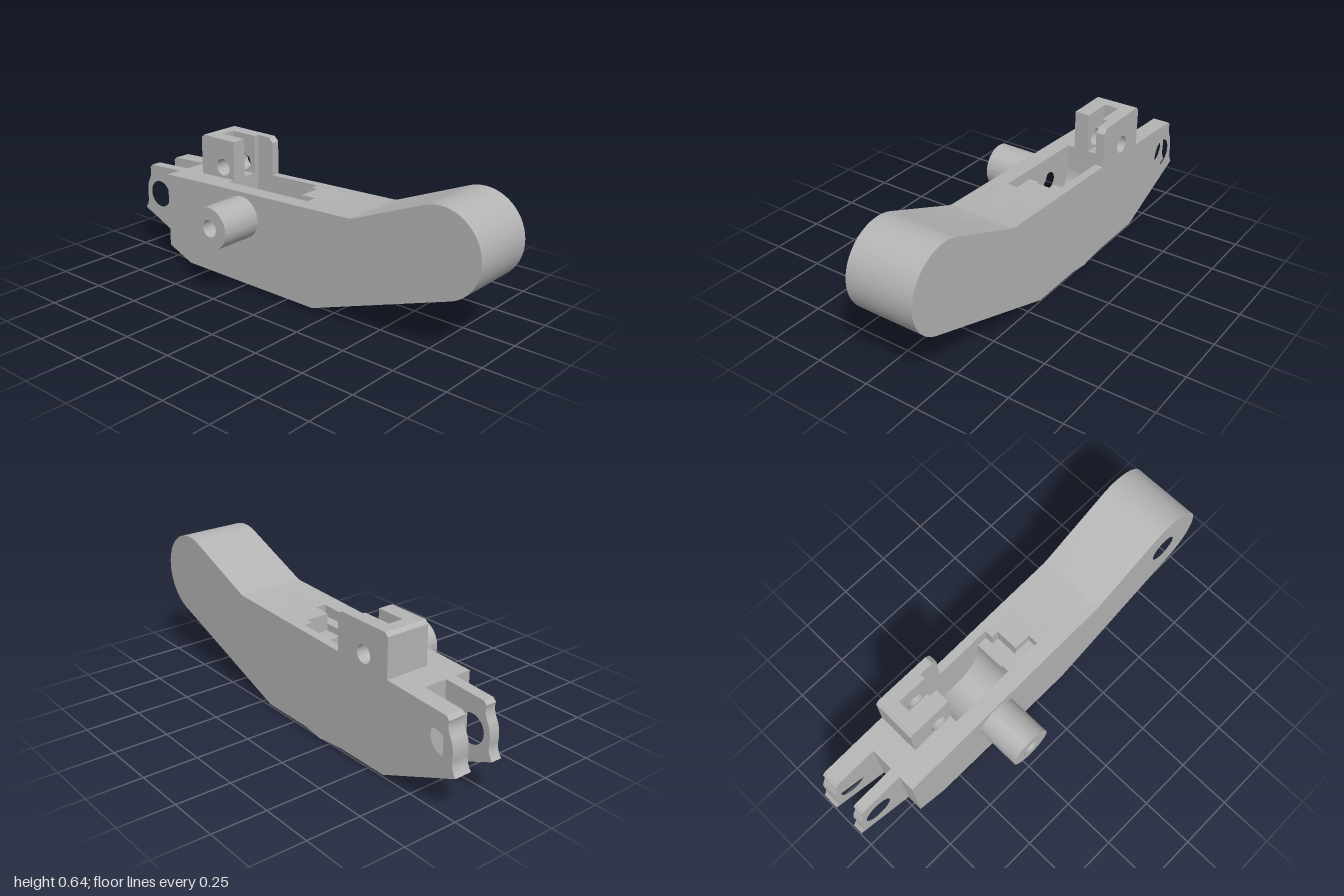
import * as THREE from 'three';
import { toCreasedNormals } from 'three/addons/utils/BufferGeometryUtils.js';

const grey = new THREE.MeshStandardMaterial({ color: 0xb4b4b4 });
grey.name = 'grey';
const rad = THREE.MathUtils.degToRad;

// Extrude a side profile between two depths
function slab(name, shape, z0, z1) {
  const geo = new THREE.ExtrudeGeometry(shape, { depth: z1 - z0, bevelEnabled: false, curveSegments: 32 });
  geo.translate(0, 0, z0);
  const mesh = new THREE.Mesh(toCreasedNormals(geo, rad(25)), grey);
  mesh.name = name;
  return mesh;
}

function addHole(shape, x, y, r) {
  shape.holes.push(new THREE.Path().absarc(x, y, r, 0, Math.PI * 2, true));
}

const polygon = (pts) => new THREE.Shape(pts.map(([x, y]) => new THREE.Vector2(x, y)));

// Arm side profile; options add the clevis ear and the wheel pocket with its shelf
function armProfile({ ear = false, pocket = false, shelfEnd = 0, shelfY = 0.39 }) {
  const s = new THREE.Shape();
  if (ear) {
    s.moveTo(-0.6, 0.018);
    s.lineTo(-1, 0.19);
    s.quadraticCurveTo(-0.975, 0.22, -0.98, 0.255);
    s.quadraticCurveTo(-0.985, 0.31, -0.965, 0.345);
    s.quadraticCurveTo(-0.945, 0.38, -0.955, 0.41);
    s.lineTo(-0.94, 0.425);
    s.lineTo(-0.74, 0.436);
  } else {
    s.moveTo(-0.6, 0.018);
    s.lineTo(-0.74, 0.075);
    s.lineTo(-0.74, 0.436);
  }
  s.lineTo(-0.41, 0.452);
  if (pocket) {
    s.lineTo(-0.41, 0.34);
    s.absarc(-0.25, 0.34, 0.16, Math.PI, Math.PI * 2, false);
    s.lineTo(-0.09, shelfY);
    s.lineTo(shelfEnd, shelfY);
    s.lineTo(shelfEnd, 0.468 + shelfEnd * 0.045);
  }
  s.lineTo(0.36, 0.483);
  s.lineTo(0.38, 0.487);
  s.absarc(0.805, 0.45, 0.195, rad(113), rad(-70), true);
  s.lineTo(0.17, 0.018);
  s.closePath();
  addHole(s, 0.8, 0.452, 0.065);
  if (ear) addHole(s, -0.885, 0.285, 0.065);
  return s;
}

// Upright bracket profile
function bracketProfile(right, chamferRight, hole = true) {
  const c = chamferRight ? 0.022 : 0;
  const s = polygon([
    [-0.615, 0.42], [right, 0.42], [right, 0.635 - c], [right - c, 0.635], [-0.6, 0.635], [-0.615, 0.62],
  ]);
  if (hole) addHole(s, -0.475, 0.5, 0.04);
  return s;
}

export function createModel() {
  const model = new THREE.Group();
  model.name = 'leverArm';

  // Arm, stacked in depth from front to back
  const arm = new THREE.Group();
  arm.name = 'arm';
  const front = armProfile({});
  addHole(front, -0.25, 0.34, 0.04);
  arm.add(
    slab('frontWall', front, -0.02, 0.057),
    slab('frontEarLayer', armProfile({ ear: true, pocket: true, shelfEnd: 0.075, shelfY: 0.42 }), -0.07, -0.02),
    slab('core', armProfile({ pocket: true, shelfEnd: -0.005 }), -0.18, -0.07),
    slab('rearEarLayer', armProfile({ ear: true, pocket: true, shelfEnd: -0.04 }), -0.22, -0.18),
    slab('rearWall', armProfile({ ear: true }), -0.26, -0.22),
  );
  model.add(arm);

  // Hollow pivot boss on the front
  const ring = new THREE.Shape().absarc(-0.25, 0.34, 0.098, 0, Math.PI * 2, false);
  addHole(ring, -0.25, 0.34, 0.04);
  model.add(slab('pivotBoss', ring, 0.05, 0.26));

  // Slotted bracket on the top
  const bracket = new THREE.Group();
  bracket.name = 'bracket';
  bracket.add(
    slab('bracketFrontCheek', bracketProfile(-0.405, false), -0.125, -0.055),
    slab('bracketWeb', bracketProfile(-0.545, false, false), -0.195, -0.125),
    slab('bracketRearCheek', bracketProfile(-0.405, false), -0.22, -0.195),
    slab('bracketRearPlate', bracketProfile(-0.315, true), -0.26, -0.22),
  );
  model.add(bracket);

  // Shallow ridge under the belly
  const ridge = polygon([[-0.33, 0.03], [-0.33, 0.017], [-0.21, 0.006], [-0.19, 0], [-0.17, 0.006], [-0.09, 0.017], [-0.09, 0.03]]);
  model.add(slab('bellyRidge', ridge, -0.259, -0.055));

  return model;
}
